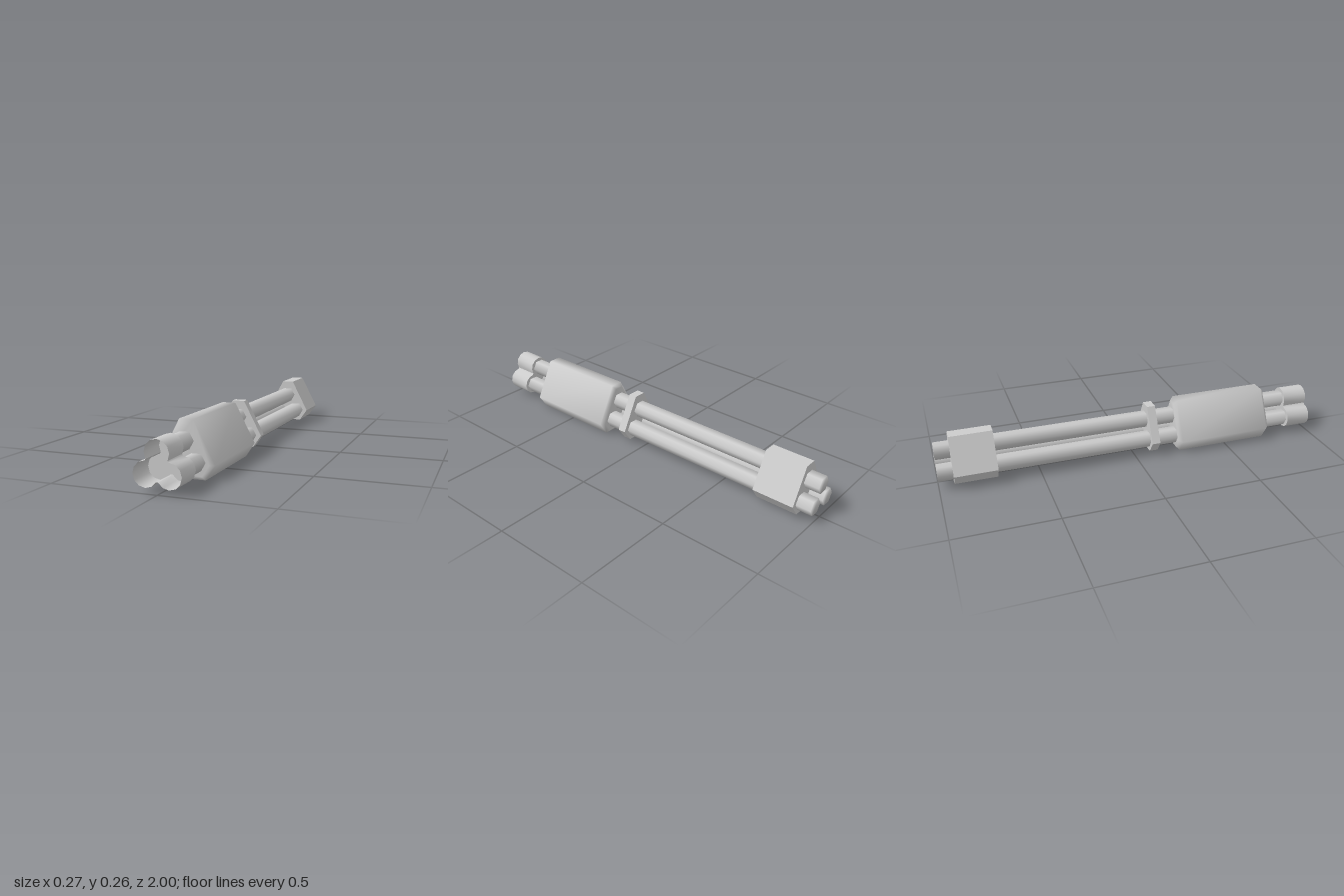
import * as THREE from 'three';
import { mergeVertices, toCreasedNormals } from 'three/addons/utils/BufferGeometryUtils.js';

const grey = new THREE.MeshStandardMaterial({ color: 0xcccccc });
const flatGrey = new THREE.MeshStandardMaterial({ color: 0xcccccc, flatShading: true });
const thinGrey = new THREE.MeshStandardMaterial({ color: 0xcccccc, side: THREE.DoubleSide });

// Centres of the three tubes: right, top, left
const CENTRES = [[0.053, 0.081], [0, 0.172], [-0.053, 0.081]];

function part(name, geometry, material) {
  const mesh = new THREE.Mesh(geometry, material);
  mesh.name = name;
  return mesh;
}

// Weld all corners so the shading runs softly over every edge
function soften(geometry) {
  geometry.deleteAttribute('normal');
  geometry.deleteAttribute('uv');
  const welded = mergeVertices(geometry, 1e-4);
  welded.computeVertexNormals();
  return welded;
}

// Triangle with cut corners, given by half widths at top, shoulder and base
function cutTriangle(top, shoulder, base, yTop, yShoulder, yBase) {
  return new THREE.Shape([
    [base, yBase], [shoulder, yShoulder], [top, yTop],
    [-top, yTop], [-shoulder, yShoulder], [-base, yBase],
  ].map(([x, y]) => new THREE.Vector2(x, y)));
}

function clamp(name, zBack, zFront) {
  const shape = cutTriangle(0.031, 0.121, 0.079, 0.252, 0.08, 0.02);
  const geometry = new THREE.ExtrudeGeometry(shape, { depth: zFront - zBack, bevelEnabled: false });
  geometry.translate(0, 0, zBack);
  return part(name, geometry, flatGrey);
}

// Three-lobed outline, a 240 degree arc around each tube
function cloverPoints(radius) {
  const points = [];
  CENTRES.forEach(([cx, cy], lobe) => {
    for (let i = 0; i <= 8; i++) {
      const a = THREE.MathUtils.degToRad(210 + lobe * 120 + i * 30);
      points.push(new THREE.Vector2(cx + radius * Math.cos(a), cy + radius * Math.sin(a)));
    }
  });
  return points;
}

// Thin open cup at the front: wall and floor
function muzzle(zBack, zFront) {
  const group = new THREE.Group();
  group.name = 'muzzle';
  const points = cloverPoints(0.056);
  const n = points.length;
  const positions = [];
  const index = [];
  points.forEach((p, i) => {
    positions.push(p.x, p.y, zBack, p.x, p.y, zFront);
    const a = 2 * i;
    const b = 2 * ((i + 1) % n);
    index.push(a, b, b + 1, a, b + 1, a + 1);
  });
  const wall = new THREE.BufferGeometry();
  wall.setAttribute('position', new THREE.Float32BufferAttribute(positions, 3));
  wall.setIndex(index);
  const floor = new THREE.ShapeGeometry(new THREE.Shape(points));
  floor.translate(0, 0, zBack);
  group.add(
    part('muzzleWall', toCreasedNormals(wall, 0.8), thinGrey),
    part('muzzleFloor', floor, thinGrey),
  );
  return group;
}

export function createModel() {
  const model = new THREE.Group();
  model.name = 'tripleBarrel';

  // Six-sided barrels running the whole length
  const zBack = -1;
  const zFront = 0.868;
  for (const [x, y] of CENTRES) {
    const geometry = new THREE.CylinderGeometry(0.043, 0.043, zFront - zBack, 6);
    geometry.rotateY(Math.PI / 2); // corners point sideways
    geometry.rotateX(Math.PI / 2);
    geometry.translate(x, y, (zFront + zBack) / 2);
    model.add(part('barrel', soften(geometry), grey));
  }

  // Housing with softened ends
  const bevel = 0.018;
  const housing = new THREE.ExtrudeGeometry(cutTriangle(0.033, 0.133, 0.088, 0.261, 0.069, 0), {
    depth: 0.52 - 2 * bevel,
    bevelSize: bevel,
    bevelThickness: bevel,
    bevelOffset: -bevel,
    bevelSegments: 1,
  });
  housing.translate(0, 0, 0.225 + bevel);
  model.add(part('housing', soften(housing), grey));

  // Clamps and muzzle
  model.add(clamp('middleClamp', 0.077, 0.12));
  model.add(clamp('rearClamp', -0.926, -0.715));
  model.add(muzzle(0.87, 1));

  return model;
}
